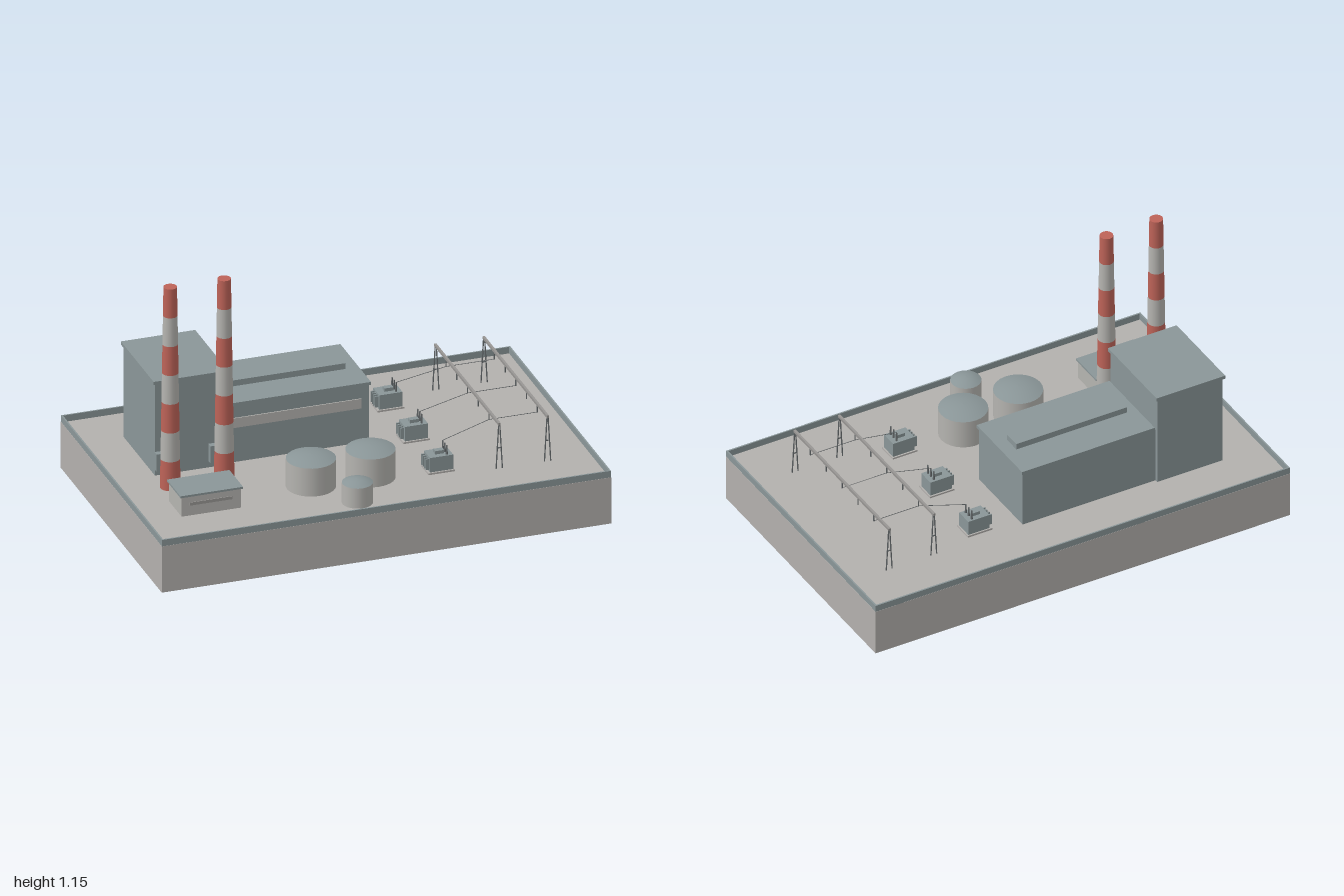
import * as THREE from 'three';

const mat = (name, color) => {
  const m = new THREE.MeshStandardMaterial({ color });
  m.name = name;
  return m;
};

export function createModel() {
  const concrete = mat('concrete', 0xb3b0ad);
  const cladding = mat('blue grey cladding', 0x8a9698);
  const red = mat('warning red', 0xbd6358);
  const pale = mat('pale paint', 0xb5b4b0);
  const steel = mat('dark steel', 0x64696b);
  const galvanised = mat('galvanised steel', 0x989694);

  const model = new THREE.Group();
  model.name = 'powerPlant';
  const FLOOR = 0.215;

  const group = (name) => {
    const g = new THREE.Group();
    g.name = name;
    model.add(g);
    return g;
  };
  const add = (parent, name, geometry, material) => {
    const m = new THREE.Mesh(geometry, material);
    m.name = name;
    parent.add(m);
    return m;
  };
  // Box given by its minimum and maximum on each axis
  const box = (parent, name, material, x0, x1, y0, y1, z0, z1) => {
    const m = add(parent, name, new THREE.BoxGeometry(x1 - x0, y1 - y0, z1 - z0), material);
    m.position.set((x0 + x1) / 2, (y0 + y1) / 2, (z0 + z1) / 2);
    return m;
  };
  // Straight round bar between two points
  const bar = (parent, name, material, a, b, r) => {
    const p = new THREE.Vector3(...a), q = new THREE.Vector3(...b);
    const m = add(parent, name, new THREE.CylinderGeometry(r, r, p.distanceTo(q), 6), material);
    m.position.copy(p).add(q).multiplyScalar(0.5);
    m.quaternion.setFromUnitVectors(new THREE.Vector3(0, 1, 0), q.sub(p).normalize());
    return m;
  };

  // Ground slab with a low perimeter wall
  const site = group('site');
  box(site, 'groundSlab', concrete, -1, 1, 0, FLOOR, -0.637, 0.637);
  for (const s of [-1, 1]) {
    const zi = s * 0.629, zo = s * 0.636, xi = s * 0.992, xo = s * 0.999;
    box(site, 'perimeterWallLong', cladding, -0.999, 0.999, FLOOR, 0.245, Math.min(zi, zo), Math.max(zi, zo));
    box(site, 'perimeterWallShort', cladding, Math.min(xi, xo), Math.max(xi, xo), FLOOR, 0.245, -0.629, 0.629);
  }

  // Boiler house with two flue ducts
  const boiler = group('boilerHouse');
  box(boiler, 'boilerWalls', cladding, -0.8, -0.485, FLOOR, 0.641, -0.415, -0.016);
  box(boiler, 'boilerRoof', cladding, -0.808, -0.477, 0.641, 0.656, -0.423, -0.009);
  for (const x of [-0.775, -0.535]) {
    box(boiler, 'flueDuct', cladding, x - 0.027, x + 0.027, 0.245, 0.325, -0.016, 0.011);
  }

  // Turbine hall with roof monitor and window band
  const hall = group('turbineHall');
  box(hall, 'hallWalls', cladding, -0.485, 0.156, FLOOR, 0.48, -0.4, -0.028);
  box(hall, 'hallRoof', cladding, -0.477, 0.163, 0.48, 0.494, -0.407, -0.021);
  box(hall, 'roofMonitor', cladding, -0.43, 0.104, 0.494, 0.521, -0.254, -0.174);
  box(hall, 'windowBand', pale, -0.447, 0.121, 0.376, 0.421, -0.028, -0.023);

  // Chimneys: seven tapering bands, red at both ends
  const BANDS = 7, TOP = 1.148, step = (TOP - FLOOR) / BANDS;
  const radiusAt = (i) => THREE.MathUtils.lerp(0.044, 0.029, i / BANDS);
  for (const x of [-0.775, -0.535]) {
    const chimney = group('chimney');
    for (let i = 0; i < BANDS; i++) {
      const geo = new THREE.CylinderGeometry(radiusAt(i + 1), radiusAt(i), step, 18, 1, i < BANDS - 1);
      add(chimney, 'chimneyBand', geo, i % 2 ? pale : red).position.set(x, FLOOR + (i + 0.5) * step, 0.106);
    }
  }

  // Storage tanks with shallow domes
  for (const [x, z, r, wallTop, apex] of [
    [-0.215, 0.293, 0.106, 0.345, 0.364],
    [0.05, 0.293, 0.106, 0.345, 0.364],
    [-0.083, 0.505, 0.066, 0.308, 0.325],
  ]) {
    const tank = group('storageTank');
    add(tank, 'tankWall', new THREE.CylinderGeometry(r, r, wallTop - FLOOR, 24, 1, true), pale)
      .position.set(x, (FLOOR + wallTop) / 2, z);
    const rise = apex - wallTop, profile = [];
    for (let i = 0; i <= 5; i++) {
      const t = i / 5;
      profile.push(new THREE.Vector2(r * (1 - t), rise * (1 - (1 - t) ** 2)));
    }
    add(tank, 'tankDome', new THREE.LatheGeometry(profile, 24), cladding).position.set(x, wallTop, z);
  }

  // Control building
  const control = group('controlBuilding');
  box(control, 'controlWalls', pale, -0.826, -0.562, FLOOR, 0.305, 0.236, 0.394);
  box(control, 'controlRoof', cladding, -0.833, -0.555, 0.305, 0.314, 0.229, 0.401);
  box(control, 'controlWindowBand', galvanised, -0.79, -0.6, 0.262, 0.276, 0.394, 0.397);

  // Transformers with radiator fins and bushings
  for (const z of [-0.322, 0, 0.317]) {
    const t = group('transformer');
    box(t, 'pad', concrete, 0.283, 0.402, FLOOR, 0.223, z - 0.046, z + 0.046);
    box(t, 'transformerTank', cladding, 0.293, 0.396, 0.223, 0.29, z - 0.039, z + 0.039);
    box(t, 'conservator', cladding, 0.325, 0.365, 0.29, 0.305, z - 0.013, z + 0.013);
    for (let i = 0; i < 4; i++) {
      const fz = z - 0.027 + i * 0.018;
      box(t, 'radiatorFin', cladding, 0.277, 0.293, 0.232, 0.282, fz - 0.003, fz + 0.003);
    }
    for (const dz of [-0.025, 0, 0.025]) {
      const bushing = add(t, 'bushing', new THREE.CylinderGeometry(0.003, 0.005, 0.042, 8), steel);
      bushing.position.set(0.372, 0.311, z + dz);
    }
  }

  // Line gantries: A-frame legs, beam and hanging insulators
  for (const x of [0.585, 0.8]) {
    const gantry = group('lineGantry');
    box(gantry, 'beam', galvanised, x - 0.005, x + 0.005, 0.417, 0.429, -0.405, 0.405);
    for (const z of [-0.4, 0.4]) {
      for (const s of [-1, 1]) {
        bar(gantry, 'gantryLeg', steel, [x + s * 0.014, FLOOR, z], [x + s * 0.002, 0.428, z], 0.0028);
      }
      box(gantry, 'legBrace', steel, x - 0.009, x + 0.009, 0.31, 0.314, z - 0.002, z + 0.002);
    }
    for (const z of [-0.27, -0.135, 0, 0.135, 0.27]) {
      bar(gantry, 'insulator', steel, [x, 0.42, z], [x, 0.383, z], 0.0028);
    }
  }

  // Conductors from the transformers across both gantries
  const lines = group('powerLines');
  for (const [z, tz] of [[-0.27, -0.27 - 0.027], [0, 0], [0.27, 0.27 + 0.022]]) {
    bar(lines, 'lineDrop', steel, [0.372, 0.332, tz], [0.585, 0.384, z], 0.0013);
    bar(lines, 'lineSpan', steel, [0.585, 0.384, z], [0.8, 0.384, z], 0.0013);
  }

  return model;
}
